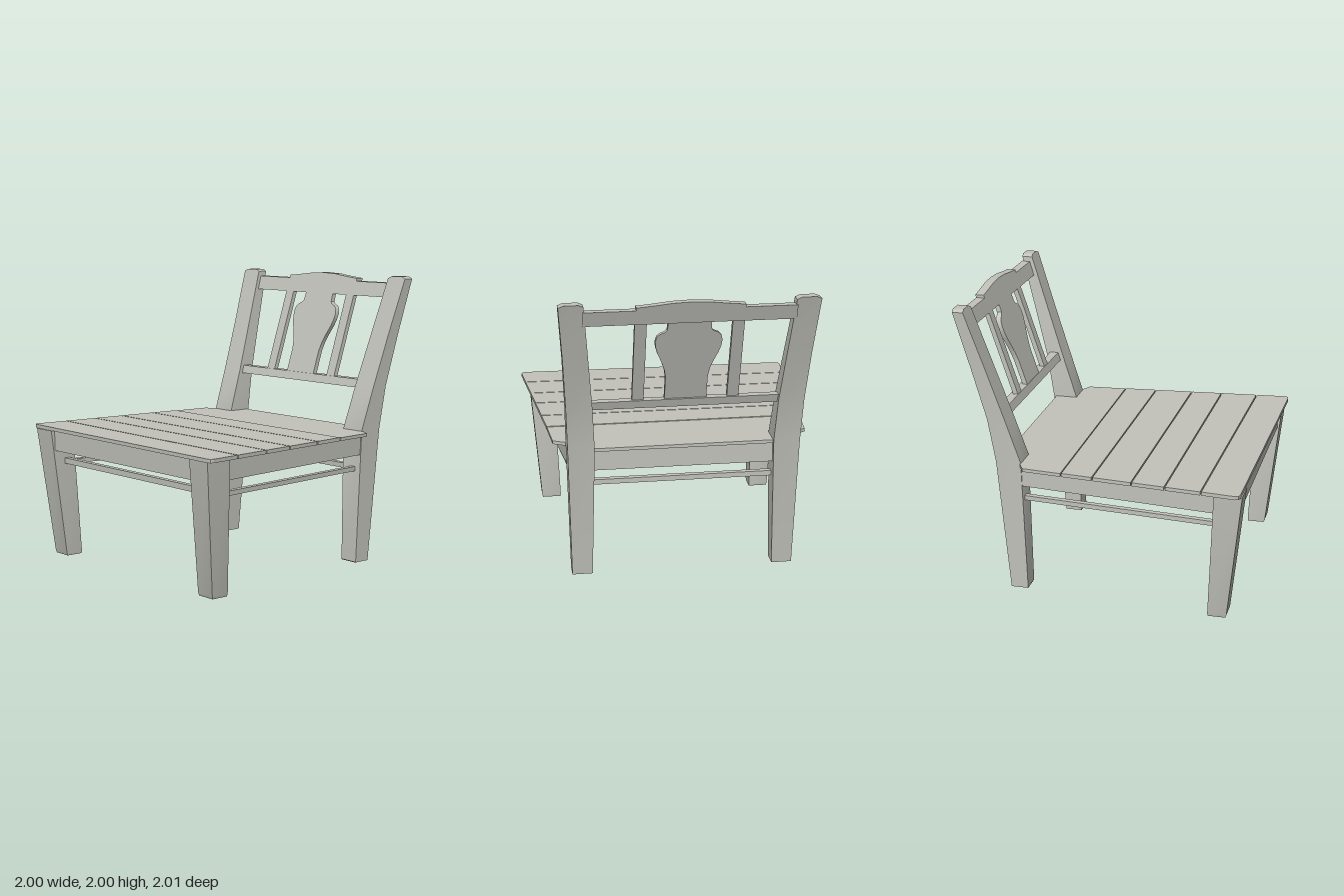
import * as THREE from 'three';
import { toCreasedNormals } from 'three/addons/utils/BufferGeometryUtils.js';

export function createModel() {
  const chair = new THREE.Group();
  chair.name = 'chair';
  const paint = new THREE.MeshStandardMaterial({ color: 0xc3c3bc });
  paint.name = 'grey paint';
  const wood = new THREE.MeshStandardMaterial({ color: 0x6b4a2e });
  wood.name = 'bare brown wood';

  function add(name, geometry, material = paint) {
    const mesh = new THREE.Mesh(geometry, material);
    mesh.name = name;
    chair.add(mesh);
    return mesh;
  }

  // Horizontal slab: outline of [x, z] corners between two heights
  function slab(name, outline, y0, y1, material) {
    const shape = new THREE.Shape(outline.map(([x, z]) => new THREE.Vector2(x, -z)));
    const g = new THREE.ExtrudeGeometry(shape, { depth: y1 - y0, bevelEnabled: false });
    g.rotateX(-Math.PI / 2).translate(0, y0, 0);
    return add(name, g, material);
  }
  const rect = (x0, x1, z0, z1) => [[x0, z0], [x1, z0], [x1, z1], [x0, z1]];

  // Post through rectangular sections [y, x0, x1, z0, z1]; side mirrors it
  function post(name, sections, side) {
    const pos = [];
    const rings = sections.map(([y, a, b, z0, z1]) => {
      const x0 = Math.min(a * side, b * side), x1 = Math.max(a * side, b * side);
      return [[x0, y, z1], [x1, y, z1], [x1, y, z0], [x0, y, z0]];
    });
    const quad = (a, b, c, d) => pos.push(...a, ...b, ...c, ...a, ...c, ...d);
    for (let i = 0; i < rings.length - 1; i++) {
      for (let k = 0; k < 4; k++) {
        const n = (k + 1) % 4;
        quad(rings[i][k], rings[i][n], rings[i + 1][n], rings[i + 1][k]);
      }
    }
    quad(...rings[rings.length - 1]);
    quad(...[...rings[0]].reverse());
    const g = new THREE.BufferGeometry();
    g.setAttribute('position', new THREE.Float32BufferAttribute(pos, 3));
    g.computeVertexNormals();
    add(name, toCreasedNormals(g, 0.4));
    // Bare wood end under the foot
    const [, a, b, z0, z1] = sections[0];
    slab(name + 'End', rect(a * side, b * side, z0, z1), 0, 0.006, wood);
  }

  // Backrest piece: front outline, leaned back with the posts
  function leaning(name, outline, front, depth) {
    const shape = new THREE.Shape(outline.map(([x, y]) => new THREE.Vector2(x, y)));
    const g = new THREE.ExtrudeGeometry(shape, { depth, bevelEnabled: false });
    const p = g.attributes.position;
    for (let i = 0; i < p.count; i++) {
      p.setZ(i, p.getZ(i) + front - depth - 0.334 * (p.getY(i) - 1.22));
    }
    g.computeVertexNormals();
    add(name, toCreasedNormals(g, 0.6));
  }

  // Seat planks, with slightly skewed joints
  const edge = (z) => 0.865 + 0.09 * (z + 0.53);
  const joints = [[-0.255, -0.25], [-0.035, -0.015], [0.237, 0.26], [0.465, 0.487], [0.71, 0.752], [0.968, 0.995]];
  const gap = 0.004;
  slab('backPlank', [
    [-0.61, -0.72], [0.61, -0.72], [0.61, -0.57], [0.79, -0.57], [0.87, -0.53],
    [edge(-0.25), -0.25 - gap], [-edge(-0.255), -0.255 - gap],
    [-0.865, -0.53], [-0.79, -0.57], [-0.61, -0.57],
  ], 0.913, 0.936);
  for (let i = 0; i < 5; i++) {
    const [l0, r0] = joints[i], [l1, r1] = joints[i + 1];
    const outline = [[-edge(l0), l0 + gap], [edge(r0), r0 + gap]];
    if (i < 4) {
      outline.push([edge(r1), r1 - gap], [-edge(l1), l1 - gap]);
    } else {
      outline.push([1, r1 - 0.03], [0.99, r1 - 0.007], [0.965, r1],
        [-0.965, l1], [-0.99, l1 - 0.007], [-1, l1 - 0.03]);
    }
    slab('seatPlank', outline, 0.913, 0.938);
  }
  slab('seatUnderside', [[-0.72, -0.64], [0.72, -0.64], [0.87, 0.9], [-0.87, 0.9]], 0.904, 0.912, wood);

  // Legs, side aprons and side stretchers
  for (const s of [1, -1]) {
    post('frontLeg', [
      [0, 0.74, 0.875, 0.753, 0.873],
      [0.02, 0.738, 0.88, 0.75, 0.88],
      [0.913, 0.77, 0.95, 0.79, 0.978],
    ], s);
    post('rearPost', [
      [0, 0.625, 0.765, -0.66, -0.54],
      [0.94, 0.605, 0.785, -0.74, -0.565],
      [1.24, 0.62, 0.795, -0.79, -0.666],
      [1.6, 0.65, 0.815, -0.886, -0.787],
      [1.985, 0.683, 0.845, -0.99, -0.916],
      [2, 0.715, 0.81, -0.995, -0.921],
    ], s);
    slab('sideApron', [[s * 0.92, 0.8], [s * 0.775, -0.57], [s * 0.725, -0.57], [s * 0.87, 0.8]], 0.77, 0.913);
    slab('sideApronInside', [[s * 0.871, 0.8], [s * 0.726, -0.57], [s * 0.72, -0.57], [s * 0.865, 0.8]], 0.77, 0.913, wood);
    slab('sideStretcher', [[s * 0.855, 0.8], [s * 0.73, -0.57], [s * 0.69, -0.57], [s * 0.815, 0.8]], 0.65, 0.682);
  }

  // Front and rear aprons and stretchers
  slab('frontApron', rect(-0.78, 0.78, 0.9, 0.95), 0.77, 0.913);
  slab('frontApronInside', rect(-0.78, 0.78, 0.894, 0.901), 0.77, 0.913, wood);
  slab('rearApron', rect(-0.62, 0.62, -0.69, -0.64), 0.77, 0.913);
  slab('rearApronInside', rect(-0.62, 0.62, -0.641, -0.634), 0.77, 0.913, wood);
  slab('frontStretcher', rect(-0.77, 0.77, 0.83, 0.87), 0.67, 0.71);
  slab('rearStretcher', rect(-0.63, 0.63, -0.64, -0.6), 0.647, 0.682);

  // Backrest rails and crest
  leaning('lowerRail', rect(-0.63, 0.63, 1.218, 1.275), -0.69, 0.06);
  leaning('topRail', [
    [-0.69, 1.85], [0.69, 1.85], [0.69, 1.95], [0.352, 1.95], [0.352, 1.97],
    [0.25, 1.98], [0.12, 1.995], [0, 2], [-0.12, 1.995], [-0.25, 1.98],
    [-0.352, 1.97], [-0.352, 1.95], [-0.69, 1.95],
  ], -0.69, 0.06);

  // Straight slats
  for (const s of [1, -1]) {
    leaning('backSlat', rect(s * 0.278, s * 0.356, 1.27, 1.855), -0.694, 0.035);
  }

  // Vase-shaped centre splat
  const half = [
    [0.14, 1.27], [0.14, 1.44], [0.151, 1.5], [0.173, 1.56], [0.2, 1.62], [0.215, 1.67],
    [0.219, 1.71], [0.21, 1.745], [0.19, 1.765], [0.158, 1.778], [0.144, 1.795], [0.14, 1.855],
  ];
  leaning('centreSplat', [...half, ...half.map(([x, y]) => [-x, y]).reverse()], -0.694, 0.035);

  return chair;
}
